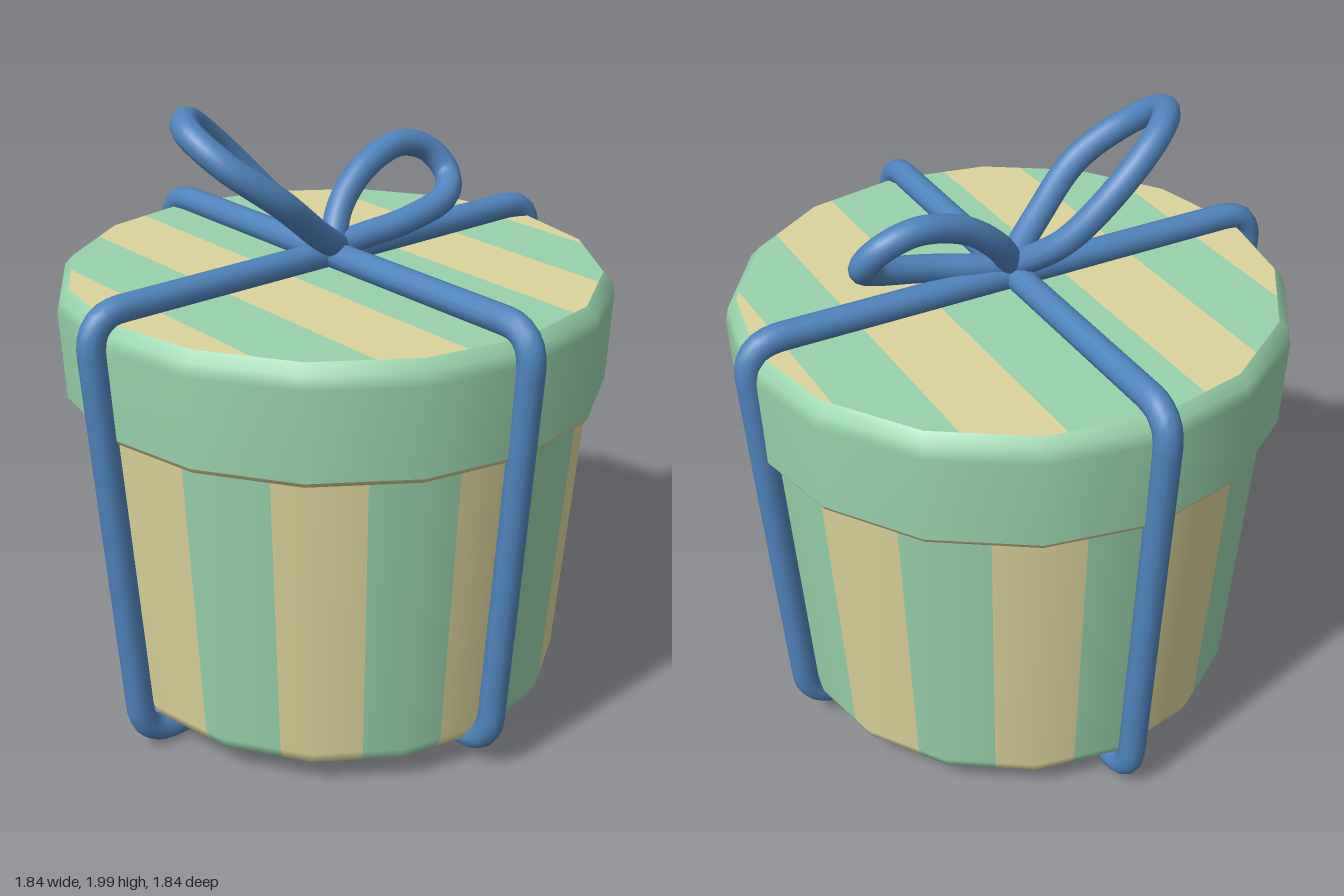
import * as THREE from 'three';
import { mergeGeometries } from 'three/addons/utils/BufferGeometryUtils.js';

const SIDES = 16;
const rad = THREE.MathUtils.degToRad;
const V = (x, y, z) => new THREE.Vector3(x, y, z);
const P = (x, y) => new THREE.Vector2(x, y);

const material = (name, color, side = THREE.FrontSide) => {
  const m = new THREE.MeshStandardMaterial({ color, side });
  m.name = name;
  return m;
};

function mesh(name, geometry, mat) {
  const m = new THREE.Mesh(geometry, mat);
  m.name = name;
  return m;
}

// One curved wall stripe, pressed onto the 16-sided outline
function wallStripe(profile, startDeg, lengthDeg) {
  const g = new THREE.LatheGeometry(profile, lengthDeg / 2.5, rad(startDeg), rad(lengthDeg));
  const step = (Math.PI * 2) / SIDES;
  const p = g.attributes.position;
  for (let i = 0; i < p.count; i++) {
    const x = p.getX(i), z = p.getZ(i);
    const a = Math.atan2(x, z) + Math.PI * 2;
    const k = Math.cos(step / 2) / Math.cos((a % step) - step / 2);
    p.setXYZ(i, x * k, p.getY(i), z * k);
  }
  return g;
}

// Half depth of the 16-sided disc at a given x
function halfDepth(x, r) {
  for (let i = 0; i < SIDES / 2; i++) {
    const a = (i * 2 * Math.PI) / SIDES, b = ((i + 1) * 2 * Math.PI) / SIDES;
    const xa = r * Math.cos(a), xb = r * Math.cos(b);
    if (x <= xa + 1e-9 && x >= xb - 1e-9) {
      return THREE.MathUtils.lerp(r * Math.sin(a), r * Math.sin(b), (xa - x) / (xa - xb));
    }
  }
  return 0;
}

// Flat disc cut into straight stripes; returns geometries for even and odd stripes
function stripedDisc(r, y, edges, down) {
  const sets = [[], []];
  const xs = [-r, ...edges, r];
  for (let s = 0; s < xs.length - 1; s++) {
    const x0 = xs[s], x1 = xs[s + 1];
    const cuts = [x0];
    for (let i = SIDES / 2; i >= 0; i--) {
      const x = r * Math.cos((i * 2 * Math.PI) / SIDES);
      if (x > x0 + 1e-4 && x < x1 - 1e-4) cuts.push(x);
    }
    cuts.push(x1);
    const near = cuts.map((x) => P(x, -halfDepth(x, r)));
    const far = cuts.map((x) => P(x, halfDepth(x, r))).reverse();
    const outline = [...near, ...far].filter((p, i, all) => p.distanceTo(all[(i + 1) % all.length]) > 1e-6);
    const g = new THREE.ShapeGeometry(new THREE.Shape(outline));
    g.rotateX(down ? Math.PI / 2 : -Math.PI / 2).translate(0, y, 0);
    sets[s % 2].push(g);
  }
  return sets.map((list) => mergeGeometries(list));
}

// Closed rounded band through four corners
function bandGeometry(corners, radius) {
  const path = new THREE.CurvePath();
  const n = corners.length;
  const start = corners[0].clone().lerp(corners[n - 1], 0.5);
  let from = start;
  corners.forEach((c, i) => {
    const prev = corners[(i + n - 1) % n], next = corners[(i + 1) % n];
    const a = c.clone().add(prev.clone().sub(c).setLength(0.12));
    const b = c.clone().add(next.clone().sub(c).setLength(0.12));
    path.add(new THREE.LineCurve3(from, a));
    path.add(new THREE.QuadraticBezierCurve3(a, c, b));
    from = b;
  });
  path.add(new THREE.LineCurve3(from, start));
  return new THREE.TubeGeometry(path, 220, radius, 12, true);
}

export function createModel() {
  const green = material('mint green', 0x98d3ab);
  const tan = material('pale straw', 0xddd49b);
  const blue = material('ribbon blue', 0x4f84bb);

  const model = new THREE.Group();
  model.name = 'giftBox';

  // Box body with wall stripes
  const box = new THREE.Group();
  box.name = 'box';
  box.position.x = 0.012;
  model.add(box);
  const wall = [P(0.69, 0.09), P(0.715, 0.1), P(0.735, 0.14), P(0.81, 1.1)];
  const tanWalls = [], greenWalls = [];
  for (let k = 0; k < 9; k++) {
    tanWalls.push(wallStripe(wall, -12.5 + 40 * k, 20));
    greenWalls.push(wallStripe(wall, 7.5 + 40 * k, 20));
  }
  box.add(mesh('wallStripesTan', mergeGeometries(tanWalls), tan));
  box.add(mesh('wallStripesGreen', mergeGeometries(greenWalls), green));

  // Striped base
  const [baseTan, baseGreen] = stripedDisc(0.69, 0.09, [-0.6, -0.425, -0.18, 0.25, 0.505], true);
  box.add(mesh('baseStripesTan', baseGreen, green), mesh('baseStripesGreen', baseTan, tan));

  // Lid side, underside rim and striped top
  const lid = new THREE.Group();
  lid.name = 'lid';
  lid.position.x = 0.012;
  model.add(lid);
  const side = [P(0.855, 1.11), P(0.868, 1.39), P(0.858, 1.43), P(0.83, 1.46)];
  lid.add(mesh('lidSide', new THREE.LatheGeometry(side, SIDES), green));
  const rim = [P(0.79, 1.095), P(0.845, 1.095), P(0.855, 1.11)];
  lid.add(mesh('lidRim', new THREE.LatheGeometry(rim, SIDES), tan));
  const [topTan, topGreen] = stripedDisc(0.83, 1.46, [-0.67, -0.425, -0.18, 0.25, 0.505, 0.745], false);
  lid.add(mesh('lidStripesTan', topTan, tan), mesh('lidStripesGreen', topGreen, green));

  // Two ribbon bands crossing over the lid and under the base
  const ribbon = new THREE.Group();
  ribbon.name = 'ribbon';
  model.add(ribbon);
  const r = 0.043;
  ribbon.add(mesh('sideToSideBand', bandGeometry([
    V(-0.888, 1.49, 0.003), V(0.882, 1.5, -0.015), V(0.775, 0.095, 0), V(-0.77, 0.046, 0)], r), blue));
  ribbon.add(mesh('frontToBackBand', bandGeometry([
    V(-0.007, 1.497, 0.885), V(0.005, 1.49, -0.885), V(0.005, 0.046, -0.775), V(-0.007, 0.092, 0.775)], r), blue));

  // Bow loops
  const loops = {
    rightBowLoop: [
      V(0, 1.52, 0), V(-0.1, 1.65, -0.15), V(-0.27, 1.84, -0.205), V(-0.41, 1.945, -0.16),
      V(-0.495, 1.945, -0.04), V(-0.46, 1.87, 0.08), V(-0.31, 1.745, 0.15), V(-0.12, 1.6, 0.085), V(0.01, 1.52, 0.01)],
    leftBowLoop: [
      V(0, 1.52, 0), V(0.08, 1.63, -0.05), V(0.2, 1.725, -0.075), V(0.36, 1.768, -0.09), V(0.47, 1.73, -0.075),
      V(0.508, 1.66, -0.03), V(0.45, 1.605, 0.03), V(0.27, 1.56, 0.045), V(0.12, 1.535, 0.02), V(0, 1.515, 0)],
  };
  for (const [name, points] of Object.entries(loops)) {
    const curve = new THREE.CatmullRomCurve3(points);
    ribbon.add(mesh(name, new THREE.TubeGeometry(curve, 72, r, 12, false), blue));
  }
  // Small tie where the loops meet
  const knot = mesh('knot', new THREE.SphereGeometry(0.05, 14, 10), blue);
  knot.position.set(0, 1.525, 0);
  ribbon.add(knot);

  return model;
}
